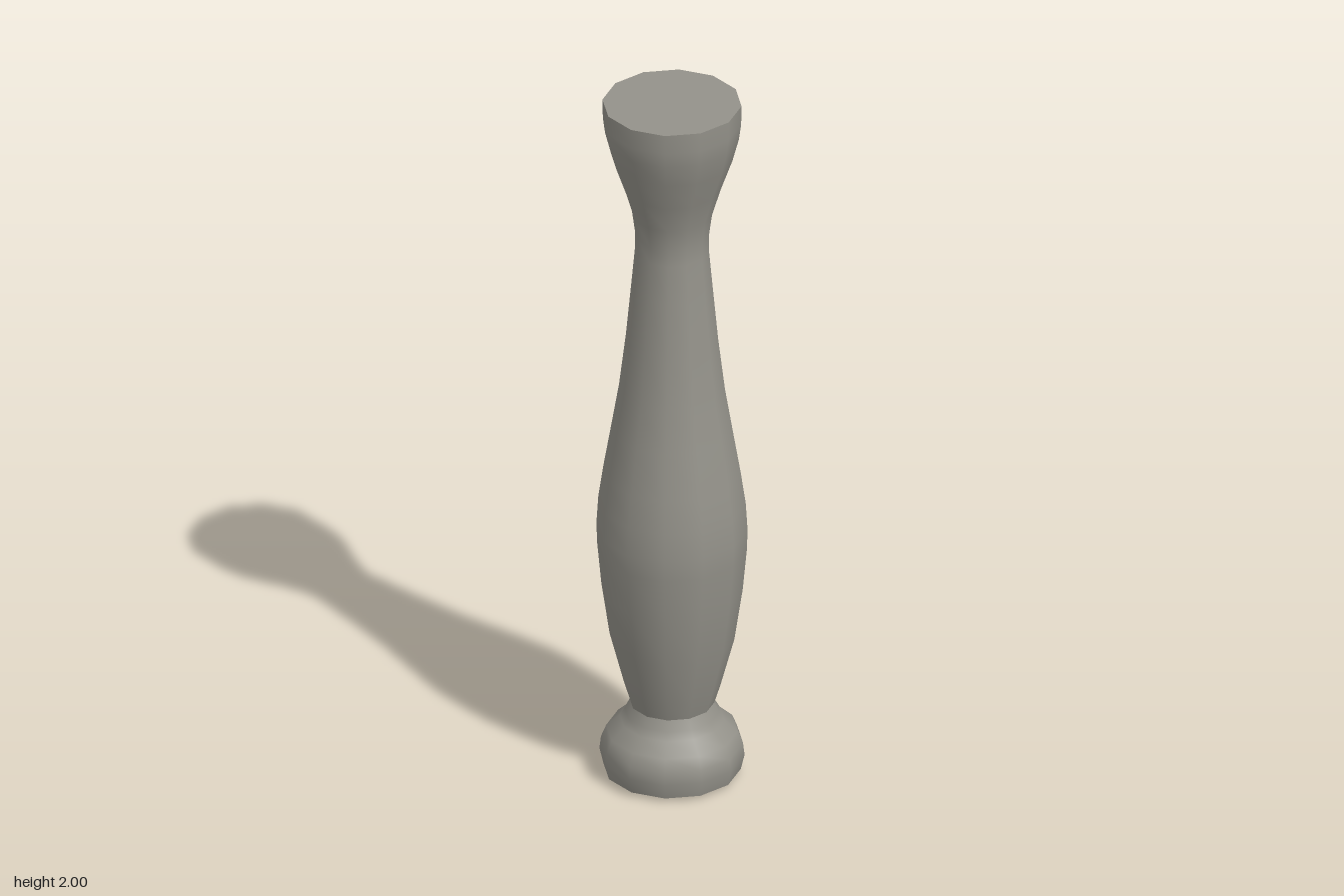
import * as THREE from 'three';

const SIDES = 12;

export function createModel() {
  const model = new THREE.Group();
  model.name = 'baluster';
  const stone = new THREE.MeshStandardMaterial({ color: 0x94928a });
  stone.name = 'warm grey stone';

  const add = (name, geometry, y = 0) => {
    const mesh = new THREE.Mesh(geometry, stone);
    mesh.name = name;
    mesh.position.y = y;
    model.add(mesh);
    return mesh;
  };
  // Turned section from [radius, height] pairs, listed bottom to top
  const turn = (name, profile) =>
    add(name, new THREE.LatheGeometry(profile.map(([r, y]) => new THREE.Vector2(r, y)), SIDES));

  // Bevel under the foot
  turn('footBevel', [[0.14, 0], [0.182, 0.012]]);

  // Rounded foot
  turn('foot', [[0.182, 0.012], [0.192, 0.055], [0.188, 0.09], [0.174, 0.125],
    [0.138, 0.158], [0.125, 0.18], [0.112, 0.208]]);

  // Swelling shaft, narrow neck and flared head
  turn('shaft', [[0.112, 0.208], [0.128, 0.26], [0.165, 0.4], [0.187, 0.55], [0.198, 0.67],
    [0.2, 0.73], [0.195, 0.81], [0.182, 0.9], [0.16, 1.03], [0.14, 1.15], [0.122, 1.3],
    [0.108, 1.45], [0.098, 1.56], [0.098, 1.61], [0.106, 1.67], [0.13, 1.75],
    [0.16, 1.835], [0.177, 1.9], [0.183, 1.945], [0.184, 2]]);

  // Flat ends
  add('topFace', new THREE.CircleGeometry(0.184, SIDES).rotateX(-Math.PI / 2), 2);
  add('bottomFace', new THREE.CircleGeometry(0.14, SIDES).rotateX(Math.PI / 2));

  return model;
}
